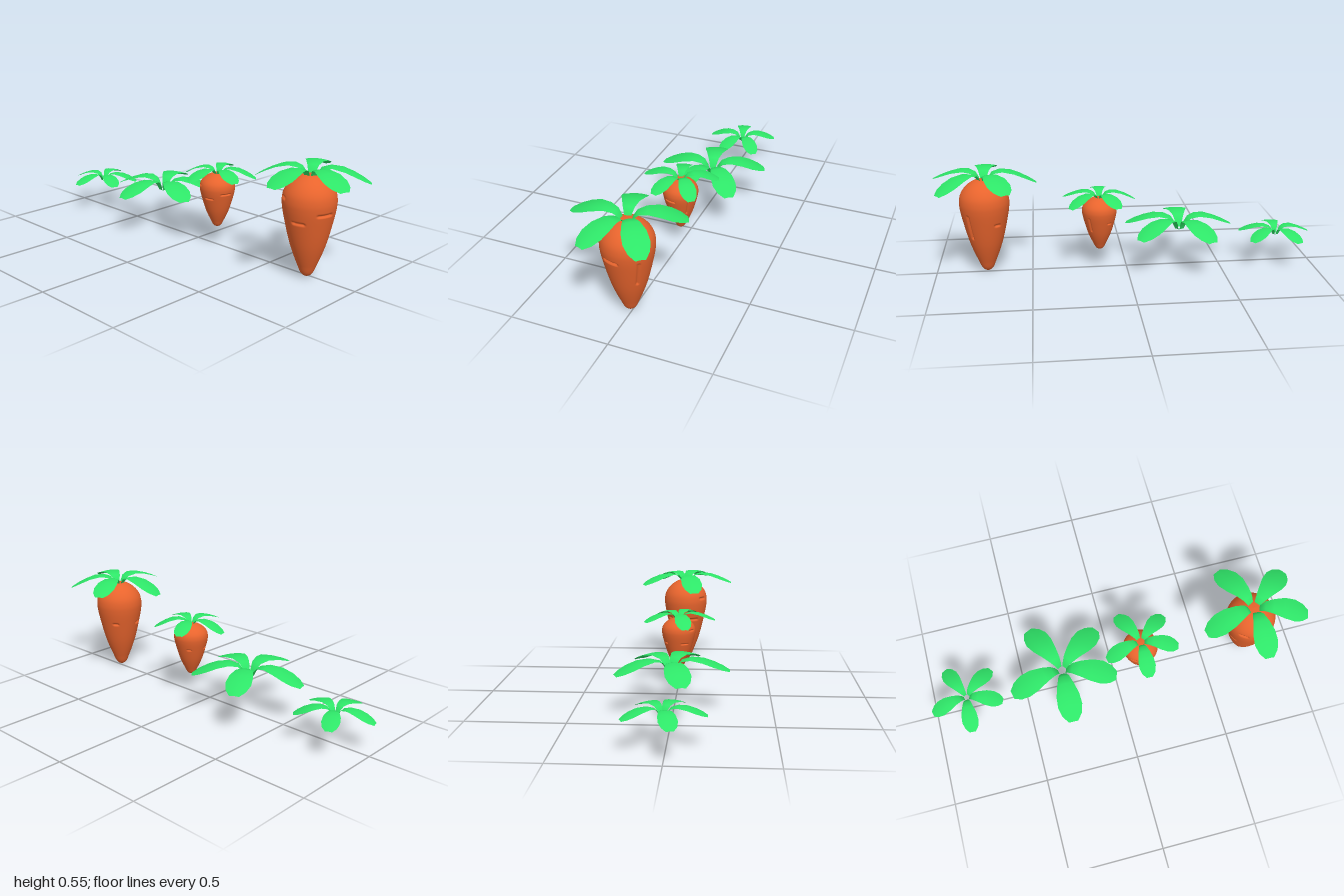
import * as THREE from 'three';
import { mergeVertices } from 'three/addons/utils/BufferGeometryUtils.js';

const orange = new THREE.MeshStandardMaterial({ color: 0xe8642d });
const green = new THREE.MeshStandardMaterial({ color: 0x2ee668, side: THREE.DoubleSide });
const rad = THREE.MathUtils.degToRad;

// Leaf cross-sections from stem to tip: reach, height below the crown top, half width
const LEAF = [
  [0.02, -0.07, 0.012], [0.032, -0.04, 0.019], [0.055, -0.012, 0.029], [0.1, 0, 0.043],
  [0.16, -0.006, 0.06], [0.215, -0.024, 0.064], [0.26, -0.043, 0.051], [0.293, -0.06, 0.024],
];
// Leaf directions in degrees, with the extra sag of each tip
const LEAVES = [[-103, 0.028], [-26, 0.004], [52, 0.022], [111, 0], [181.5, 0]];

// Carrot outline from tip to crown: radius, height
const OUTLINE = [
  [0, 0], [0.025, 0.016], [0.048, 0.065], [0.083, 0.16], [0.114, 0.285], [0.126, 0.35],
  [0.128, 0.385], [0.122, 0.42], [0.106, 0.45], [0.08, 0.477], [0.04, 0.5], [0, 0.505],
];
// Skin grooves: azimuth from the front towards +x, height, half length, vertical slant
const GROOVES = [
  { az: -16, y: 0.337, half: 0.046 },
  { az: 49, y: 0.27, half: 0.07, upright: true },
  { az: -78, y: 0.295, half: 0.036 },
  { az: -125, y: 0.4, half: 0.028 },
  { az: -152, y: 0.275, half: 0.034 },
  { az: 127, y: 0.28, half: 0.02 },
];

function leafGeometry(sag) {
  const geo = new THREE.PlaneGeometry(1, 1, 4, LEAF.length - 1);
  const pos = geo.attributes.position;
  for (let i = 0; i < pos.count; i++) {
    const [reach, y, half] = LEAF[Math.floor(i / 5)];
    const side = (i % 5) / 2 - 1;
    const drop = sag * (reach / 0.293) ** 2 + 0.12 * half * side * side;
    pos.setXYZ(i, reach, y - drop, -side * half);
  }
  geo.computeVertexNormals();
  return geo;
}

function makeCrown(name, x, top, z, scale, sagFactor) {
  const crown = new THREE.Group();
  crown.name = name;
  LEAVES.forEach(([angle, sag], i) => {
    const leaf = new THREE.Mesh(leafGeometry(sag * sagFactor), green);
    leaf.name = `leaf${i + 1}`;
    leaf.rotation.y = -rad(angle);
    crown.add(leaf);
  });
  crown.position.set(x, top, z);
  crown.scale.setScalar(scale);
  return crown;
}

// Lathed root whose skin is pressed inwards along each groove
function rootGeometry() {
  const curve = new THREE.CatmullRomCurve3(
    OUTLINE.map(([r, y]) => new THREE.Vector3(r, y, 0)), false, 'centripetal');
  const points = curve.getSpacedPoints(150).map((p) => new THREE.Vector2(Math.max(0, p.x), p.y));
  let geo = new THREE.LatheGeometry(points, 128);
  geo.deleteAttribute('uv');
  geo.deleteAttribute('normal');
  geo = mergeVertices(geo, 1e-5);
  const pos = geo.attributes.position;
  for (let i = 0; i < pos.count; i++) {
    const x = pos.getX(i), y = pos.getY(i), z = pos.getZ(i);
    const r = Math.hypot(x, z);
    if (r < 0.03) continue;
    const az = Math.atan2(x, z);
    let dent = 0;
    for (const g of GROOVES) {
      const turn = az - rad(g.az);
      const around = Math.atan2(Math.sin(turn), Math.cos(turn)) * r;
      const up = y - g.y;
      const along = Math.abs(g.upright ? up : around);
      const across = Math.abs(g.upright ? around : up);
      const end = THREE.MathUtils.clamp((g.half - along) / 0.01, 0, 1);
      dent = Math.max(dent, 0.012 * end * Math.max(0, 1 - across / 0.009));
    }
    pos.setXYZ(i, x * (1 - dent / r), y, z * (1 - dent / r));
  }
  geo.computeVertexNormals();
  return geo;
}

export function createModel() {
  const model = new THREE.Group();
  model.name = 'carrots';
  const rootGeo = rootGeometry();

  // Whole carrots, large and small
  const addCarrot = (name, x, y, z, width, height, top, crownScale) => {
    const carrot = new THREE.Group();
    carrot.name = name;
    const root = new THREE.Mesh(rootGeo, orange);
    root.name = 'root';
    root.position.set(x, y, z);
    root.scale.set(width, height, width);
    carrot.add(root, makeCrown('leafCrown', x, top, z, crownScale, 1));
    model.add(carrot);
  };
  addCarrot('largeCarrot', -0.013, 0, 0.735, 1, 1, 0.548, 0.94);
  addCarrot('smallCarrot', -0.003, 0.1, 0.142, 0.71, 0.575, 0.422, 0.67);

  // Loose leaf crowns
  model.add(makeCrown('largeLeafCrown', 0.012, 0.278, -0.283, 1, 0.4));
  model.add(makeCrown('smallLeafCrown', 0.012, 0.201, -0.81, 0.67, 0.4));
  return model;
}
